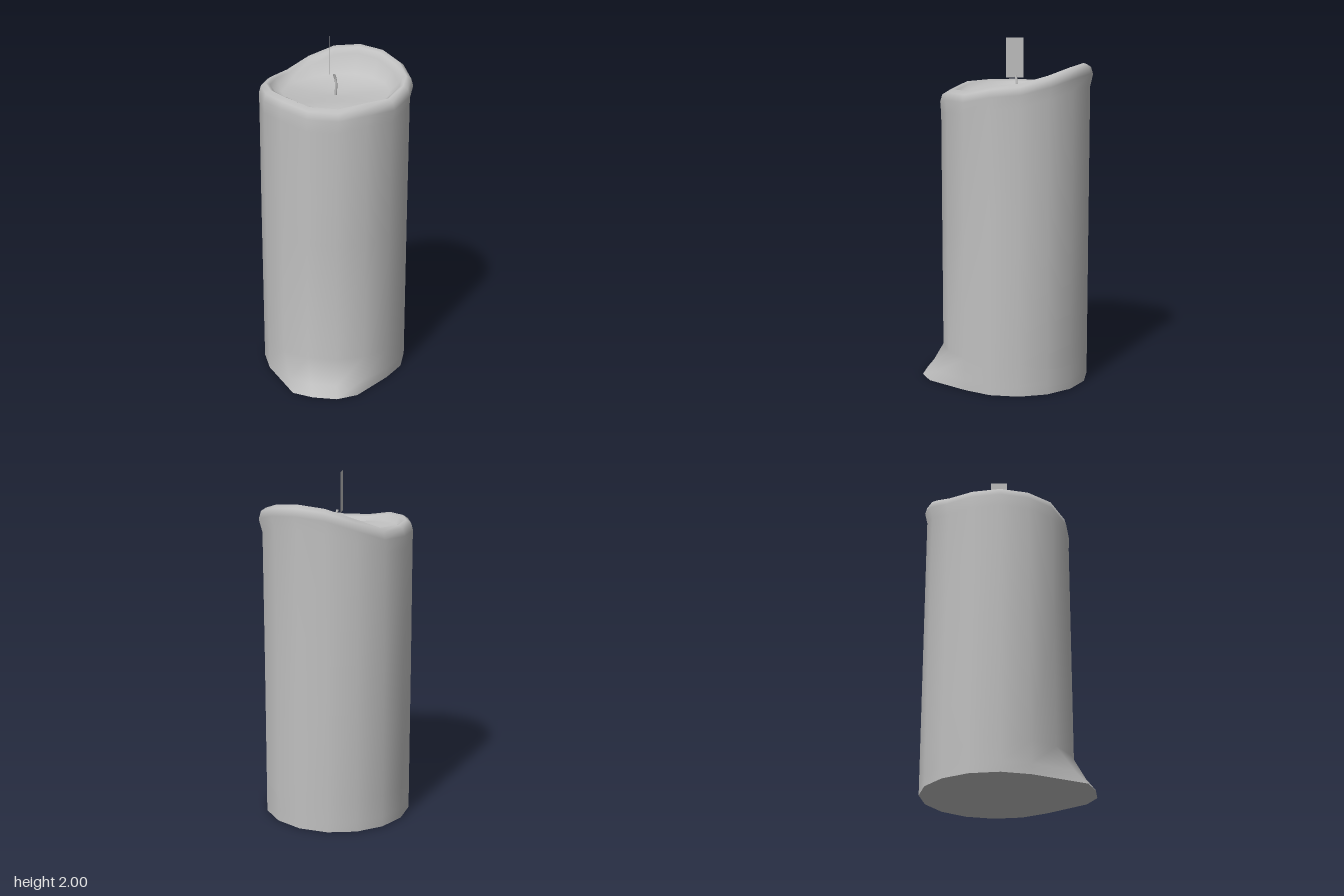
import * as THREE from 'three';

const SIDES = 16;
// Rim crest heights, starting at the back and going round past +x
const CREST = [1.85, 1.865, 1.85, 1.81, 1.77, 1.755, 1.72, 1.72, 1.695, 1.70, 1.73, 1.735, 1.735, 1.73, 1.735, 1.795];
// Wax puddle outline at the foot, by side index: [x, z]
const SPILL = { 7: [0.11, 0.455], 8: [-0.01, 0.5], 9: [-0.15, 0.475], 10: [-0.265, 0.42] };

// A ring of points; height is a number or a function of the side index
function ring(radius, height, cx = 0, cz = -0.06, spill = 0) {
  return Array.from({ length: SIDES }, (_, i) => {
    const a = (i / SIDES) * Math.PI * 2;
    const y = typeof height === 'function' ? height(i) : height;
    const p = new THREE.Vector3(cx + Math.sin(a) * radius, y, cz - Math.cos(a) * radius);
    if (spill && SPILL[i]) p.lerp(new THREE.Vector3(SPILL[i][0], y, SPILL[i][1]), spill);
    return p;
  });
}

// Skin a list of rings with smooth normals
function loft(rings) {
  const index = [];
  for (let k = 0; k < rings.length - 1; k++) {
    for (let i = 0; i < SIDES; i++) {
      const j = (i + 1) % SIDES;
      const a = k * SIDES + i, b = k * SIDES + j;
      index.push(a, a + SIDES, b, b, a + SIDES, b + SIDES);
    }
  }
  const geometry = new THREE.BufferGeometry().setFromPoints(rings.flat());
  geometry.setIndex(index);
  geometry.computeVertexNormals();
  return geometry;
}

export function createModel() {
  const group = new THREE.Group();
  const wax = new THREE.MeshStandardMaterial({ color: 0xc0c0c0, side: THREE.DoubleSide });
  wax.name = 'wax grey';

  const add = (name, geometry) => {
    const mesh = new THREE.Mesh(geometry, wax);
    mesh.name = name;
    group.add(mesh);
    return mesh;
  };

  const below = (d) => (i) => CREST[i] - d;
  const foot = () => ring(0.43, 0, -0.01, -0.055, 1);

  // Candle wall, spilled foot, rolled rim and dished top
  add('candleBody', loft([
    foot(),
    ring(0.43, 0.06, -0.01, -0.055, 0.6),
    ring(0.43, 0.19, -0.01, -0.055),
    ring(0.43, 0.9, -0.01, -0.055),
    ring(0.43, below(0.13), -0.008, -0.055),
    ring(0.44, below(0.06)),
    ring(0.428, below(0.018)),
    ring(0.4, below(0)),
    ring(0.375, below(0.012)),
    ring(0.357, below(0.045)),
    ring(0.31, (i) => 1.67 + (CREST[i] - 1.69) * 0.2),
    ring(0.16, 1.665),
    ring(0, 1.66),
  ]));

  // Underside
  add('candleBase', loft([ring(0, 0), foot()]));

  // Bent wick
  const path = new THREE.CatmullRomCurve3([
    new THREE.Vector3(-0.003, 1.65, -0.06),
    new THREE.Vector3(0.0, 1.71, -0.057),
    new THREE.Vector3(-0.002, 1.75, -0.06),
    new THREE.Vector3(-0.012, 1.782, -0.055),
  ]);
  add('wick', new THREE.TubeGeometry(path, 8, 0.007, 6));

  // Flame card
  const flame = add('flame', new THREE.PlaneGeometry(0.1, 0.23));
  flame.rotation.y = Math.PI / 2;
  flame.position.set(-0.035, 1.885, -0.05);

  return group;
}
